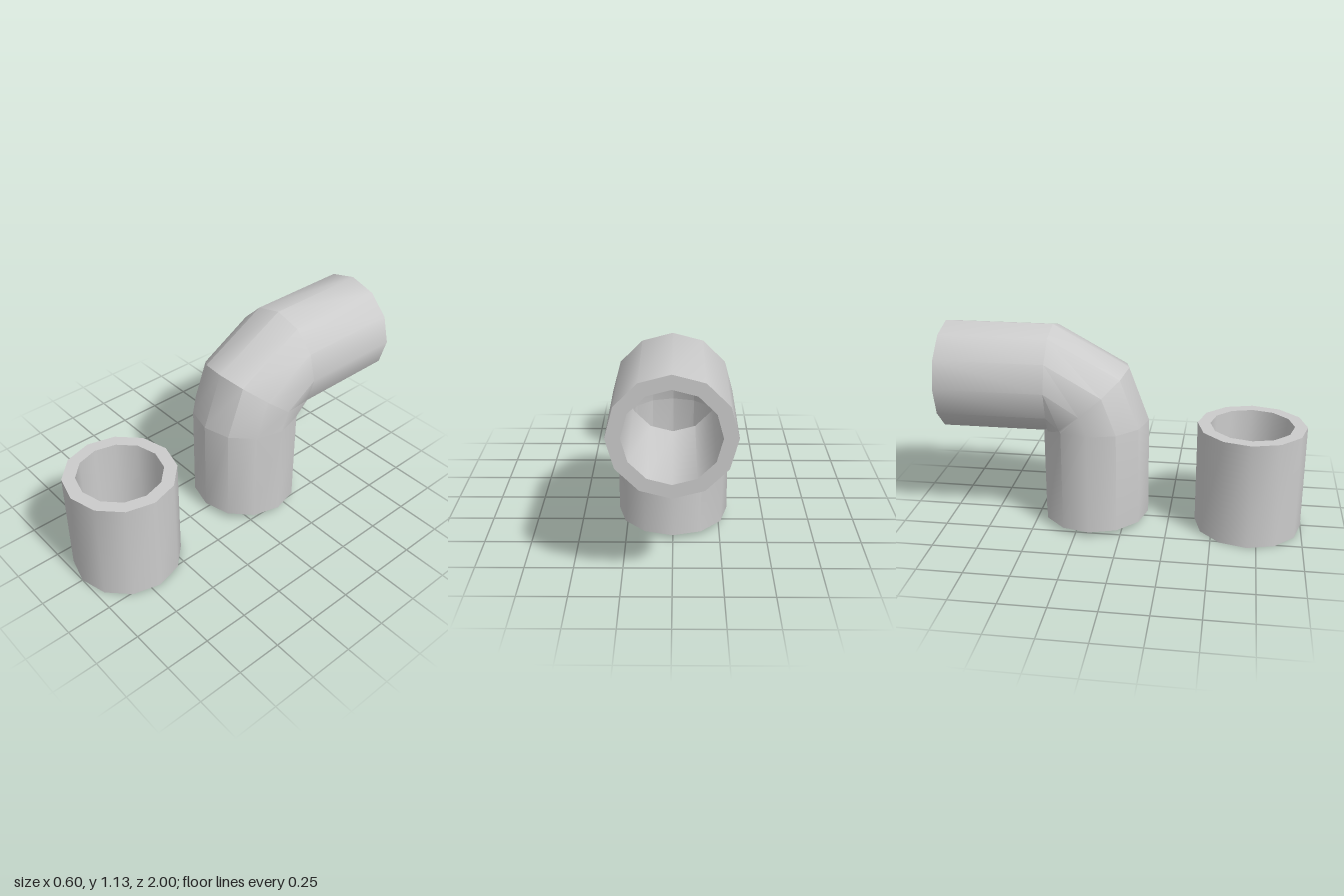
import * as THREE from 'three';
import { toCreasedNormals } from 'three/addons/utils/BufferGeometryUtils.js';

const SIDES = 12, OUTER = 0.3, INNER = 0.23;

// Hollow pipe swept through stations { y, z, tilt }; tilt turns the ring from level (0) to upright (90 degrees)
function pipe(name, stations, material) {
  const loops = [
    ...stations.map(s => [s, OUTER]),
    ...[...stations].reverse().map(s => [s, INNER]),
  ];
  const positions = [], index = [];
  for (const [s, r] of loops) {
    const tilt = THREE.MathUtils.degToRad(s.tilt);
    for (let j = 0; j < SIDES; j++) {
      const a = (j / SIDES) * Math.PI * 2, n = r * Math.cos(a);
      positions.push(r * Math.sin(a), s.y + n * Math.sin(tilt), s.z + n * Math.cos(tilt));
    }
  }
  // outer wall, end rim, inner wall and the other rim form one closed loop of bands
  for (let i = 0; i < loops.length; i++) {
    const k = (i + 1) % loops.length;
    for (let j = 0; j < SIDES; j++) {
      const m = (j + 1) % SIDES;
      const a = i * SIDES + j, b = i * SIDES + m, c = k * SIDES + m, d = k * SIDES + j;
      index.push(a, b, c, a, c, d);
    }
  }
  const geometry = new THREE.BufferGeometry();
  geometry.setAttribute('position', new THREE.Float32BufferAttribute(positions, 3));
  geometry.setIndex(index);
  const mesh = new THREE.Mesh(toCreasedNormals(geometry, 0.56), material);
  mesh.name = name;
  return mesh;
}

export function createModel() {
  const group = new THREE.Group();
  group.name = 'pipes';
  const material = new THREE.MeshStandardMaterial({ color: 0xcccccc });

  // Short upright pipe at the front
  group.add(pipe('straightPipe', [
    { y: 0, z: 0.7, tilt: 0 },
    { y: 0.6, z: 0.7, tilt: 0 },
  ], material));

  // Elbow: rises, bends tightly, then runs to the back
  group.add(pipe('elbowPipe', [
    { y: 0.03, z: -0.17, tilt: 1 },
    { y: 0.6, z: -0.17, tilt: 0 },
    { y: 0.71, z: -0.213, tilt: 39.5 },
    { y: 0.83, z: -0.4, tilt: 90 },
    { y: 0.83, z: -1, tilt: 90 },
  ], material));

  return group;
}
